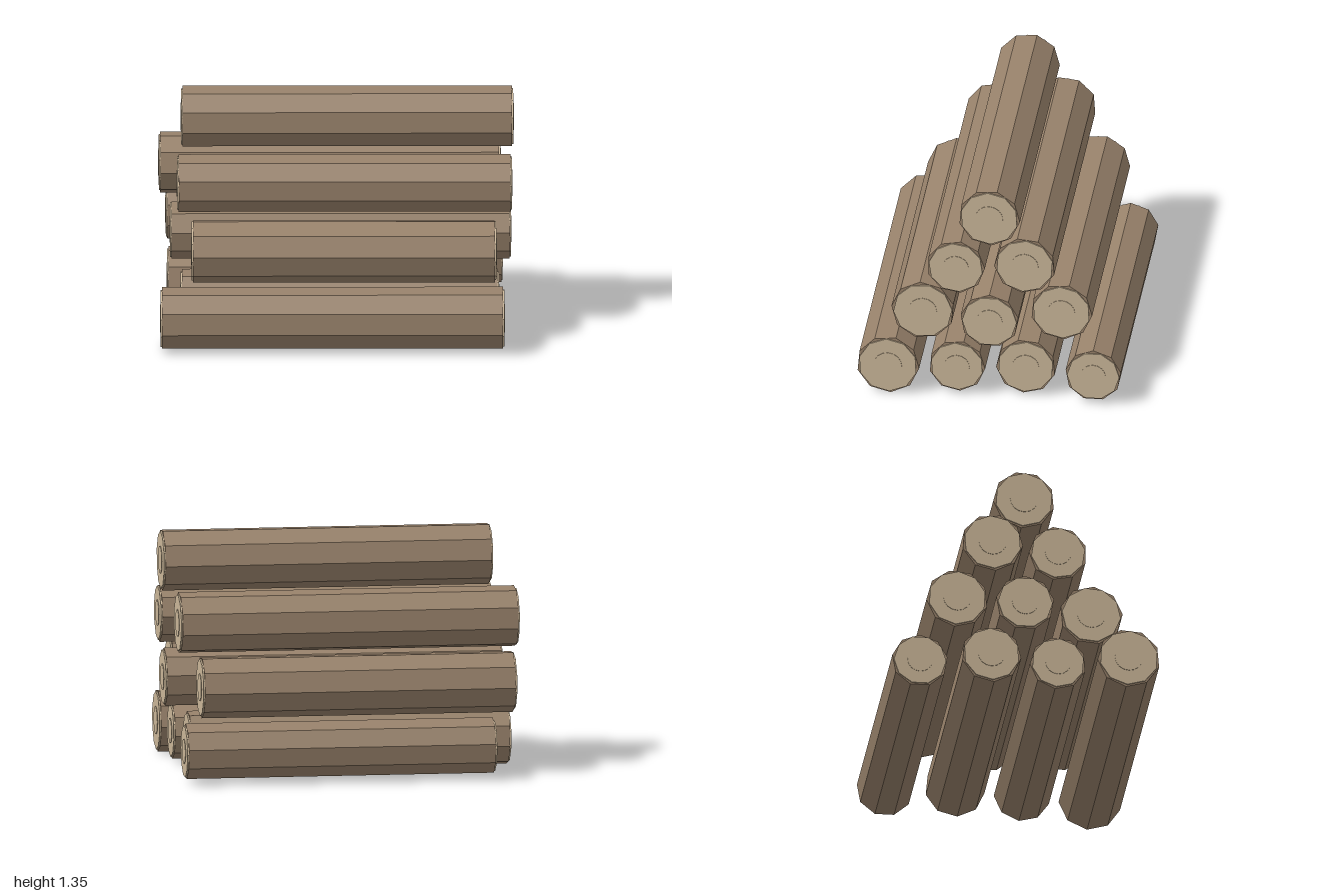
import * as THREE from 'three';

// [z, y, radius, left end x, right end x, angle of one bark corner in degrees]
const LOGS = [
  // bottom row
  [0.573, 0.181, 0.177, -0.99, 0.945, 75],
  [0.186, 0.182, 0.159, -0.876, 0.915, 76],
  [-0.198, 0.182, 0.169, -0.95, 0.875, 105],
  [-0.587, 0.184, 0.158, -0.82, 0.94, 90],
  // second row
  [0.381, 0.517, 0.178, -0.815, 0.9, 95],
  [-0.006, 0.519, 0.165, -0.935, 0.985, 90],
  [-0.393, 0.515, 0.174, -0.957, 0.825, 75],
  // third row
  [0.184, 0.853, 0.164, -0.895, 0.988, 80],
  [-0.198, 0.853, 0.173, -0.997, 0.925, 104],
  // top
  [-0.006, 1.184, 0.174, -0.872, 0.997, 75],
];
const CAP = 0.008; // how far the cut wood stands out of the bark
const RING = 0.003; // how far the heart stands out of the cut wood

export function createModel() {
  const model = new THREE.Group();
  model.name = 'logPile';

  const bark = new THREE.MeshStandardMaterial({ color: 0x98826b, flatShading: true });
  bark.name = 'bark brown';
  const wood = new THREE.MeshStandardMaterial({ color: 0xcbb799, flatShading: true });
  wood.name = 'cut wood';

  // a prism lying along x, between x0 and x1
  const prism = (name, material, radius, x0, x1, sides, degrees) => {
    const start = Math.PI + THREE.MathUtils.degToRad(degrees);
    const geometry = new THREE.CylinderGeometry(radius, radius, x1 - x0, sides, 1, false, start);
    geometry.rotateZ(-Math.PI / 2);
    geometry.translate((x0 + x1) / 2, 0, 0);
    const mesh = new THREE.Mesh(geometry, material);
    mesh.name = name;
    return mesh;
  };

  LOGS.forEach(([z, y, r, x0, x1, angle], i) => {
    const log = new THREE.Group();
    log.name = `log${i + 1}`;
    log.position.set(0, y, z);
    const inset = CAP + RING;
    log.add(prism('barkBody', bark, r, x0 + inset, x1 - inset, 9, angle));
    // cut faces and their raised hearts at both ends
    log.add(prism('leftCutFace', wood, r * 0.935, x1 - inset, x1 - RING, 10, angle + 18));
    log.add(prism('rightCutFace', wood, r * 0.935, x0 + RING, x0 + inset, 10, angle + 18));
    log.add(prism('leftHeart', wood, r * 0.45, x1 - RING, x1, 16, 0));
    log.add(prism('rightHeart', wood, r * 0.45, x0, x0 + RING, 16, 0));
    model.add(log);
  });

  return model;
}
